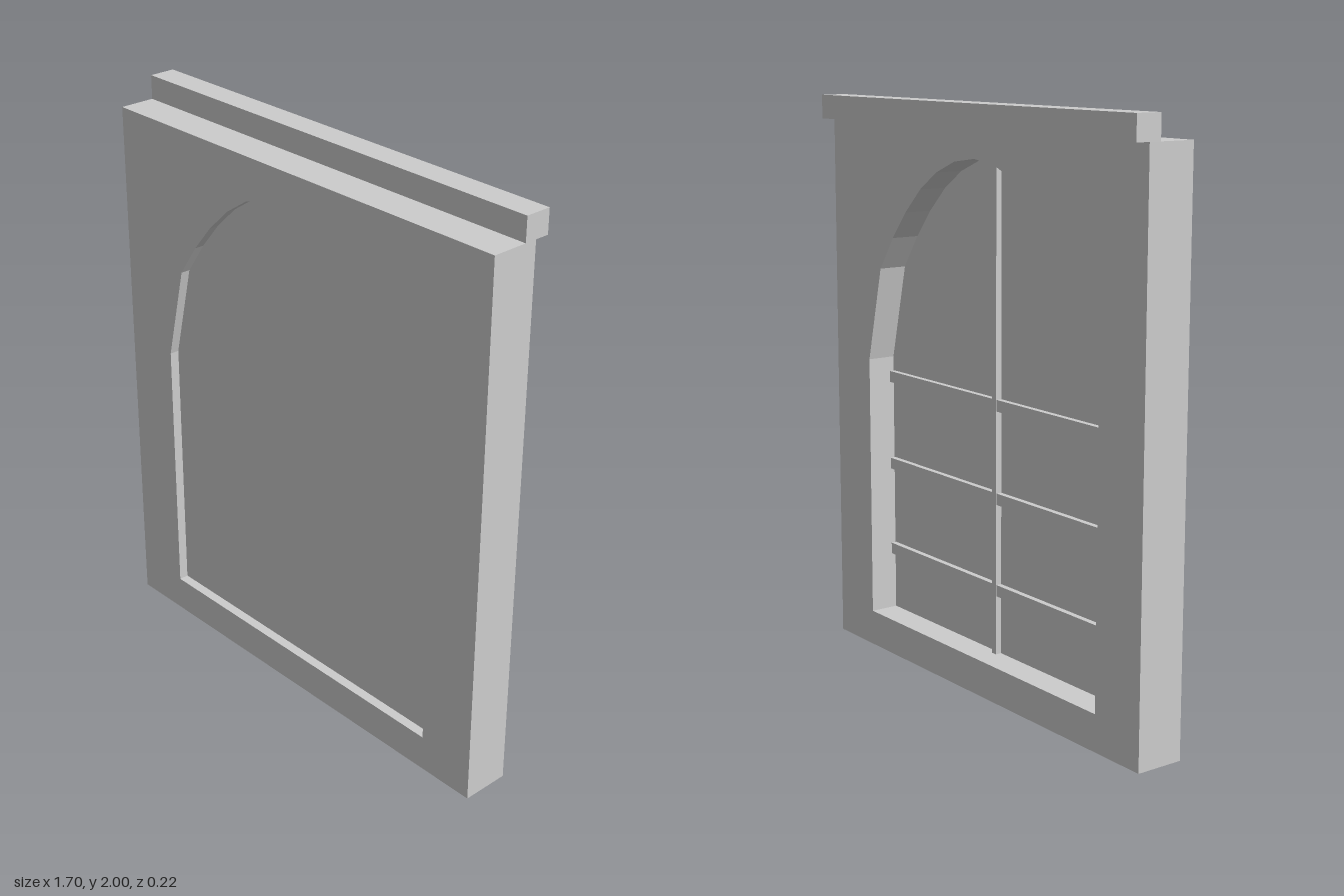
import * as THREE from 'three';

// Right half of the pointed arch, from the springing up to the apex
const ARCH = [
  [0.64, 1.07], [0.56, 1.405], [0.48, 1.52], [0.4, 1.615],
  [0.31, 1.7], [0.215, 1.763], [0.11, 1.805], [0, 1.82],
];
const SILL = 0.127;
const WALL = { halfWidth: 0.85, height: 1.917, back: -0.06, front: 0.11 };
const PANE = { back: 0.043, front: 0.076 };

// Closed outline of the window opening
function archPoints() {
  const right = ARCH.map(([x, y]) => new THREE.Vector2(x, y));
  const left = ARCH.slice(0, -1).reverse().map(([x, y]) => new THREE.Vector2(-x, y));
  return [
    new THREE.Vector2(-0.64, SILL), new THREE.Vector2(0.64, SILL),
    ...right, ...left,
  ];
}

// Flat-faced extrusion between two z positions
function slab(shape, back, front) {
  const geometry = new THREE.ExtrudeGeometry(shape, { depth: front - back, bevelEnabled: false });
  return geometry.translate(0, 0, back);
}

// Box given by its limits on each axis
function block(x0, x1, y0, y1, z0, z1) {
  return new THREE.BoxGeometry(x1 - x0, y1 - y0, z1 - z0)
    .translate((x0 + x1) / 2, (y0 + y1) / 2, (z0 + z1) / 2);
}

export function createModel() {
  const model = new THREE.Group();
  model.name = 'archedWindowPanel';
  const stone = new THREE.MeshStandardMaterial({ color: 0xcccccc });
  stone.name = 'paleGrey';

  const add = (name, geometry) => {
    const mesh = new THREE.Mesh(geometry, stone);
    mesh.name = name;
    model.add(mesh);
  };

  // Wall with the arched opening cut through it
  const w = WALL.halfWidth;
  const wall = new THREE.Shape([
    new THREE.Vector2(-w, 0), new THREE.Vector2(w, 0),
    new THREE.Vector2(w, WALL.height), new THREE.Vector2(-w, WALL.height),
  ]);
  wall.holes.push(new THREE.Path(archPoints().reverse()));
  add('wall', slab(wall, WALL.back, WALL.front));

  // Ledge along the top, overhanging the back
  add('topLedge', block(-w, w, WALL.height, 2, -0.11, -0.017));

  // Recessed pane filling the opening
  add('pane', slab(new THREE.Shape(archPoints()), PANE.back, PANE.front));

  // Glazing bars on the back of the pane
  add('verticalBar', block(-0.011, 0.011, SILL, 1.805, PANE.back - 0.022, PANE.back));
  for (let i = 0; i < 3; i++) {
    const y = 0.355 + i * 0.322;
    add('horizontalBar' + (i + 1), block(-0.635, 0.635, y - 0.02, y + 0.02, PANE.back - 0.02, PANE.back));
  }

  return model;
}
